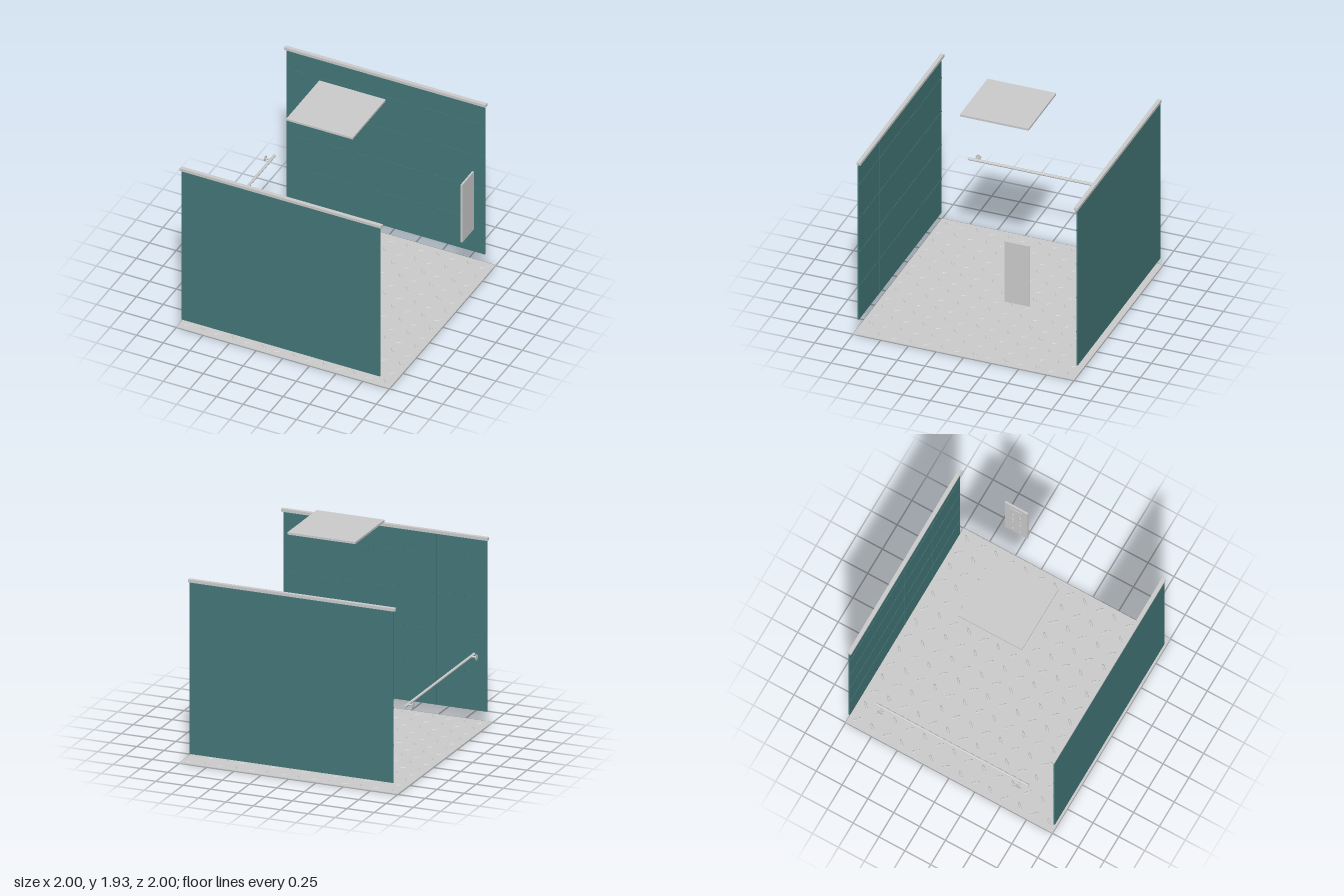
import * as THREE from 'three';
import { mergeGeometries } from 'three/addons/utils/BufferGeometryUtils.js';

const grey = new THREE.MeshStandardMaterial({ color: 0xcccccc });
const flatGrey = new THREE.MeshStandardMaterial({ color: 0xcccccc, flatShading: true });
const teal = new THREE.MeshStandardMaterial({ color: 0x447678 });

function add(parent, name, geometry, material = grey, x = 0, y = 0, z = 0) {
  const mesh = new THREE.Mesh(geometry, material);
  mesh.name = name;
  mesh.position.set(x, y, z);
  parent.add(mesh);
  return mesh;
}

// box given by its limits on each axis
function boxGeo(x0, x1, y0, y1, z0, z1) {
  return new THREE.BoxGeometry(x1 - x0, y1 - y0, z1 - z0)
    .translate((x0 + x1) / 2, (y0 + y1) / 2, (z0 + z1) / 2);
}

// Thin plate with alternating diagonal raised lozenges
function buildFloor() {
  const floor = new THREE.Group();
  floor.name = 'floor';
  add(floor, 'floorPlate', boxGeo(-1, 1, 0, 0.006, -1, 1));
  const n = 14, pitch = 1.998 / n, treads = [];
  for (let i = 0; i < n; i++) {
    for (let j = 0; j < n; j++) {
      const lozenge = new THREE.CylinderGeometry(0.7, 1, 0.006, 8);
      lozenge.scale(0.04, 1, 0.011);
      lozenge.rotateY((i + j) % 2 ? Math.PI / 4 : -Math.PI / 4);
      lozenge.translate((i - (n - 1) / 2) * pitch, 0.009, (j - (n - 1) / 2) * pitch);
      treads.push(lozenge);
    }
  }
  add(floor, 'floorTreads', mergeGeometries(treads), flatGrey);
  return floor;
}

// Padded wall in front orientation (inner face towards -z)
function buildWall(name, side) {
  const wall = new THREE.Group();
  wall.name = name;
  const x0 = -0.955, x1 = 0.908, y0 = 0.095, y1 = 1.625;
  const z = (a, b) => side > 0 ? [a, b] : [-b, -a];
  add(wall, 'wallPanel', boxGeo(x0, x1, y0, y1, ...z(0.984, 0.997)), teal);
  add(wall, 'topTrim', boxGeo(-0.97, 0.922, 1.622, 1.648, ...z(0.966, 1)));

  // horizontal seams with a row of stitches, and vertical seams
  const seams = [];
  for (let r = 1; r <= 4; r++) {
    const y = y0 + r * 0.332;
    seams.push(boxGeo(x0, x1, y - 0.004, y + 0.004, ...z(0.9815, 0.985)));
    for (let i = 0; i < 40; i++) {
      const x = x0 + (i + 0.5) * (x1 - x0) / 40;
      seams.push(boxGeo(x - 0.009, x + 0.009, y - 0.007, y + 0.007, ...z(0.98, 0.985)));
    }
  }
  for (let c = 1; c <= 3; c++) {
    const x = x0 + c * (x1 - x0) / 4;
    seams.push(boxGeo(x - 0.003, x + 0.003, y0, y1, ...z(0.982, 0.985)));
  }
  add(wall, 'wallSeams', mergeGeometries(seams), teal);
  return wall;
}

// Rail along z on two wall brackets
function buildHandrail() {
  const rail = new THREE.Group();
  rail.name = 'handrail';
  const y = 0.686;
  add(rail, 'railBar', new THREE.CylinderGeometry(0.0125, 0.0125, 1.48, 8).rotateX(Math.PI / 2), flatGrey, -0.945, y, 0);
  for (const z of [-0.668, 0.668]) {
    add(rail, 'bracketArm', new THREE.CylinderGeometry(0.008, 0.008, 0.055, 10).rotateZ(Math.PI / 2), grey, -0.972, y, z);
    add(rail, 'bracketDisc', new THREE.CylinderGeometry(0.025, 0.025, 0.006, 16).rotateZ(Math.PI / 2), grey, -0.997, y, z);
  }
  return rail;
}

// Plate with display and buttons on the side facing into the room
function buildControlPanel() {
  const panel = new THREE.Group();
  panel.name = 'controlPanel';
  const zc = -0.482;
  add(panel, 'controlPlate', boxGeo(0.984, 1, 0.635, 1.227, -0.592, -0.372));
  add(panel, 'displayWindow', boxGeo(0.979, 0.985, 1.1, 1.175, zc - 0.06, zc + 0.06));
  const button = new THREE.CylinderGeometry(0.014, 0.014, 0.01, 16).rotateZ(Math.PI / 2);
  for (const y of [1.045, 1.01, 0.927, 0.857, 0.705]) {
    for (const dz of [-0.035, 0.035]) add(panel, 'button', button, grey, 0.981, y, zc + dz);
  }
  return panel;
}

// Square ceiling light with a recessed diffuser below
function buildCeilingLight() {
  const light = new THREE.Group();
  light.name = 'ceilingLight';
  add(light, 'lightFrame', boxGeo(-0.311, 0.311, 1.912, 1.931, -0.311, 0.311));
  add(light, 'lightDiffuser', boxGeo(-0.283, 0.283, 1.906, 1.913, -0.283, 0.283));
  return light;
}

export function createModel() {
  const model = new THREE.Group();
  model.name = 'liftCabin';
  model.add(
    buildFloor(),
    buildWall('frontWall', 1),
    buildWall('backWall', -1),
    buildHandrail(),
    buildControlPanel(),
    buildCeilingLight(),
  );
  return model;
}
